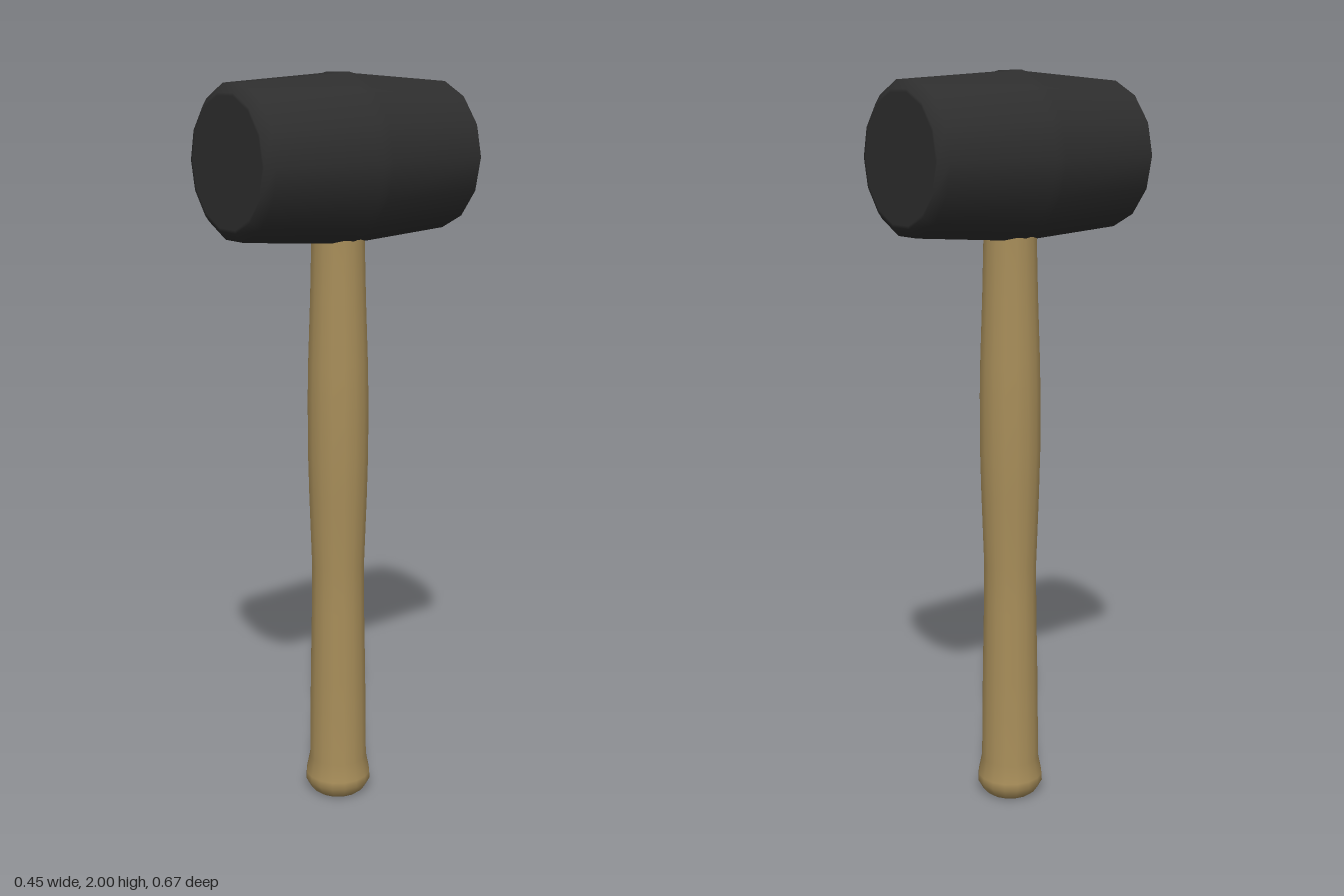
import * as THREE from 'three';

const rubber = new THREE.MeshStandardMaterial({ name: 'black rubber', color: 0x2e2e2e });
const wood = new THREE.MeshStandardMaterial({ name: 'wood', color: 0xa88e5a });

// Turned part from [radius, height] pairs, listed bottom to top
function turned(name, profile, sides, material) {
  const points = profile.map(([r, y]) => new THREE.Vector2(r, y));
  const mesh = new THREE.Mesh(new THREE.LatheGeometry(points, sides, Math.PI / 2), material);
  mesh.name = name;
  return mesh;
}

export function createModel() {
  const mallet = new THREE.Group();
  mallet.name = 'mallet';

  // Barrel head: half profile from the central ridge to one face, mirrored
  const half = [[0.219, 0.015], [0.197, 0.315], [0.173, 0.336], [0.165, 0.336], [0, 0.336]];
  const barrel = [
    ...half.map(([r, y]) => [r, -y]).reverse(),
    [0.223, 0],
    ...half,
  ];
  const head = turned('head', barrel, 14, rubber);
  head.rotation.x = Math.PI / 2;
  head.position.y = 1.7826;
  mallet.add(head);

  // Handle: flared butt, narrow waist, swelling grip, running up into the head
  const grip = [
    [0, 0], [0.066, 0], [0.078, 0.01], [0.092, 0.035], [0.091, 0.055], [0.081, 0.105],
    [0.078, 0.35], [0.074, 0.55], [0.073, 0.68], [0.08, 0.88], [0.083, 1.0],
    [0.083, 1.15], [0.081, 1.25], [0.075, 1.42], [0.071, 1.58], [0.071, 1.75], [0, 1.75],
  ];
  mallet.add(turned('handle', grip, 16, wood));

  return mallet;
}
